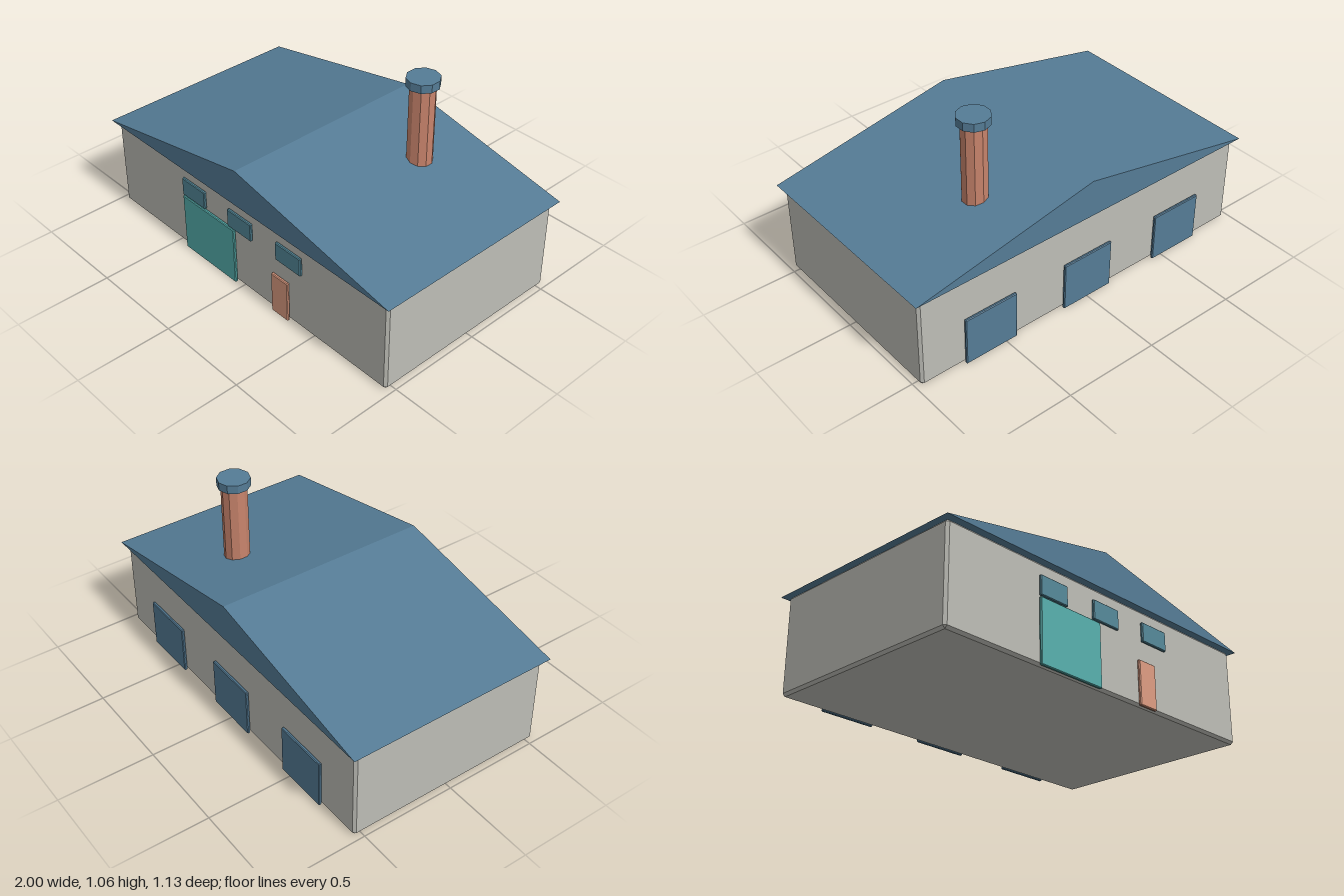
import * as THREE from 'three';
import { ConvexGeometry } from 'three/addons/geometries/ConvexGeometry.js';

const paint = (color) => new THREE.MeshStandardMaterial({ color, flatShading: true });
const wallMat = paint(0xbdbdb6);
const roofMat = paint(0x557c96);
const glassMat = paint(0x55899a);
const shutterMat = paint(0x57b0ae);
const doorMat = paint(0xdf9d82);
const brickMat = paint(0xc8846c);

// Box with all edges and corners chamfered by b
function chamferBox(w, h, d, b) {
  const points = [];
  for (const x of [-1, 1]) for (const y of [-1, 1]) for (const z of [-1, 1]) {
    for (let face = 0; face < 3; face++) {
      const inset = [b, b, b];
      inset[face] = 0;
      points.push(new THREE.Vector3(
        x * (w / 2 - inset[0]), y * (h / 2 - inset[1]), z * (d / 2 - inset[2])));
    }
  }
  return new ConvexGeometry(points);
}

export function createModel() {
  const house = new THREE.Group();
  house.name = 'house';

  const add = (name, geometry, material, x, y, z) => {
    const mesh = new THREE.Mesh(geometry, material);
    mesh.name = name;
    mesh.position.set(x, y, z);
    house.add(mesh);
    return mesh;
  };

  // Walls
  add('walls', chamferBox(1.946, 0.494, 1.078, 0.013), wallMat, 0, 0.247, 0);

  // Gabled roof, ridge running front to back
  const gable = new THREE.Shape([
    new THREE.Vector2(-1, 0), new THREE.Vector2(1, 0), new THREE.Vector2(0, 0.198),
  ]);
  const roof = new THREE.ExtrudeGeometry(gable, { depth: 1.132, bevelEnabled: false });
  add('roof', roof, roofMat, 0, 0.494, -0.566);

  // Thin panels set on the front (side 1) or back (side -1) wall
  const panel = (name, material, x, bottom, w, h, side) =>
    add(name, chamferBox(w, h, 0.016, 0.004), material, x, bottom + h / 2, side * 0.549);

  panel('garageDoor', shutterMat, -0.238, 0, 0.39, 0.32, 1);
  panel('frontDoor', doorMat, 0.284, 0, 0.115, 0.226, 1);
  for (const x of [-0.346, 0, 0.346]) panel('frontWindow', glassMat, x, 0.326, 0.173, 0.1, 1);
  for (const x of [-0.586, 0, 0.586]) panel('backWindow', roofMat, x, 0, 0.295, 0.262, -1);

  // Chimney and its cap
  add('chimney', new THREE.CylinderGeometry(0.065, 0.065, 0.47, 10), brickMat, 0.415, 0.78, -0.224);
  add('chimneyCap', new THREE.CylinderGeometry(0.083, 0.083, 0.043, 10), roofMat, 0.415, 1.034, -0.224);

  return house;
}
